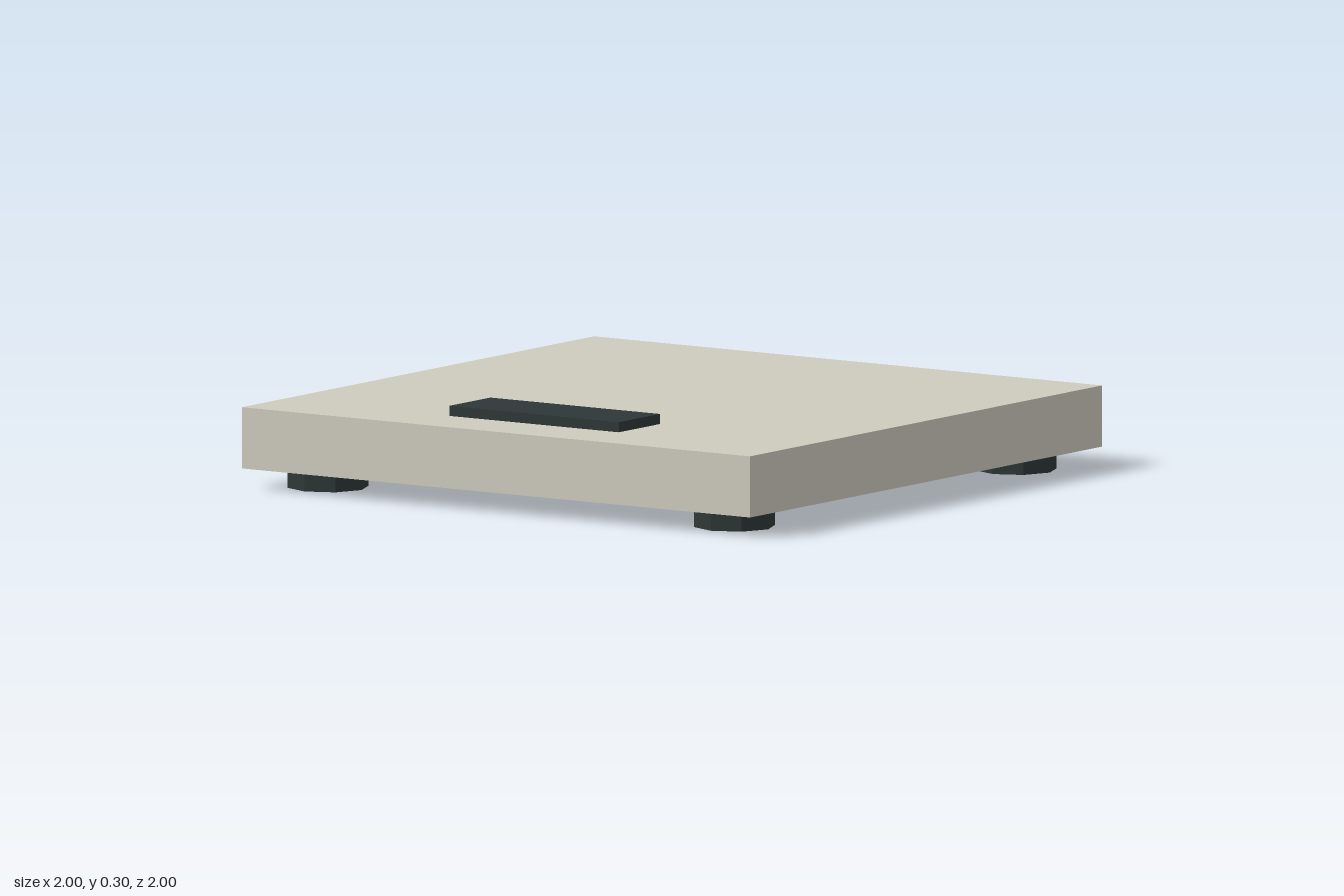
import * as THREE from 'three';

export function createModel() {
  const group = new THREE.Group();
  const stone = new THREE.MeshStandardMaterial({ color: 0xcecabe });
  stone.name = 'warm grey';
  const dark = new THREE.MeshStandardMaterial({ color: 0x2e3737, flatShading: true });
  dark.name = 'dark slate';

  function add(name, geometry, material, x, y, z) {
    const mesh = new THREE.Mesh(geometry, material);
    mesh.name = name;
    mesh.position.set(x, y, z);
    group.add(mesh);
  }

  // Square platform
  add('platform', new THREE.BoxGeometry(2, 0.2, 2), stone, 0, 0.167, 0);

  // Raised display near the front edge
  add('display', new THREE.BoxGeometry(0.667, 0.034, 0.233), dark, 0, 0.283, 0.667);

  // Four low-poly feet
  const foot = new THREE.CylinderGeometry(0.133, 0.133, 0.067, 8);
  for (const x of [-0.8, 0.8]) {
    for (const z of [-0.8, 0.8]) {
      add(`${z > 0 ? 'front' : 'back'}${x > 0 ? 'Left' : 'Right'}Foot`, foot, dark, x, 0.0335, z);
    }
  }
  return group;
}
